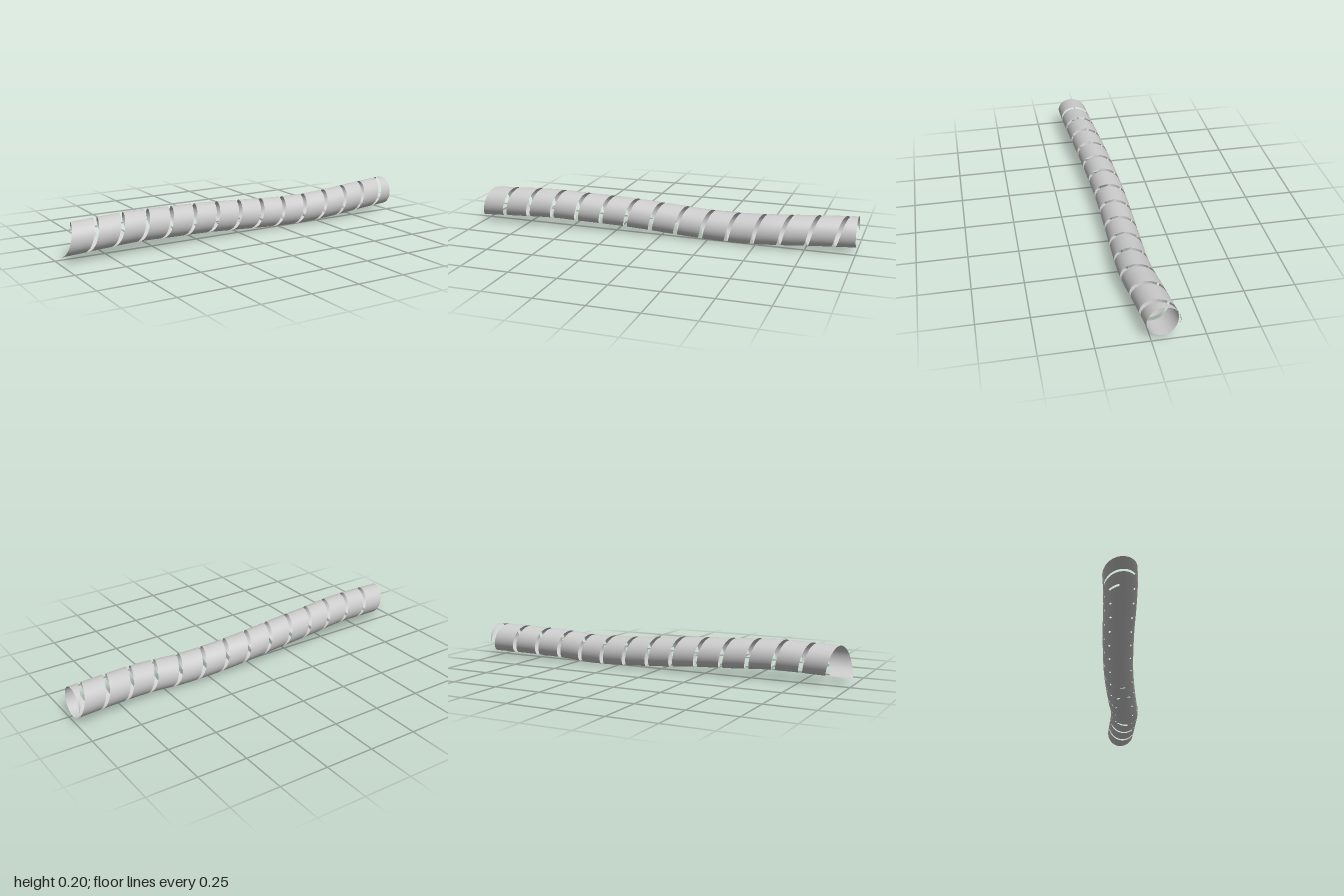
import * as THREE from 'three';

const RADIUS = 0.077;
const PITCH = 0.1352;
const WIDTH = 0.114;
const TURNS = 2 / PITCH;

// gently wandering centre line of the coil, running from -x to +x
const axis = new THREE.CatmullRomCurve3([
  [-1, 0.113, 0.049], [-0.8, 0.122, 0.043], [-0.6, 0.127, 0.03], [-0.4, 0.119, 0.013],
  [-0.2, 0.111, 0], [0, 0.098, -0.01], [0.2, 0.086, -0.012], [0.4, 0.082, -0.01],
  [0.6, 0.093, -0.008], [0.8, 0.103, -0.029], [1, 0.109, -0.053],
].map((p) => new THREE.Vector3(...p)));

// ribbon wound round the centre line; the last turn is trimmed flat at x = 1
function spiralRibbon() {
  const along = Math.round(TURNS * 48), across = 4;
  const positions = [], indices = [];
  const centre = new THREE.Vector3();
  for (let i = 0; i <= along; i++) {
    const turn = (i / along) * TURNS;
    const angle = turn * Math.PI * 2;
    for (let j = 0; j <= across; j++) {
      const x = Math.min(1, -1 + turn * PITCH + (j / across) * WIDTH);
      axis.getPoint((x + 1) / 2, centre);
      // bottom -> front -> top -> back
      positions.push(x, centre.y - RADIUS * Math.cos(angle), centre.z + RADIUS * Math.sin(angle));
      if (i < along && j < across) {
        const a = i * (across + 1) + j, b = a + across + 1;
        indices.push(a, a + 1, b, b, a + 1, b + 1);
      }
    }
  }
  const geometry = new THREE.BufferGeometry();
  geometry.setAttribute('position', new THREE.Float32BufferAttribute(positions, 3));
  geometry.setIndex(indices);
  geometry.computeVertexNormals();
  return geometry;
}

export function createModel() {
  const group = new THREE.Group();
  group.name = 'spiralWrap';
  const material = new THREE.MeshStandardMaterial({ color: 0xcccccc, side: THREE.DoubleSide });
  const ribbon = new THREE.Mesh(spiralRibbon(), material);
  ribbon.name = 'spiralRibbon';
  group.add(ribbon);
  return group;
}
